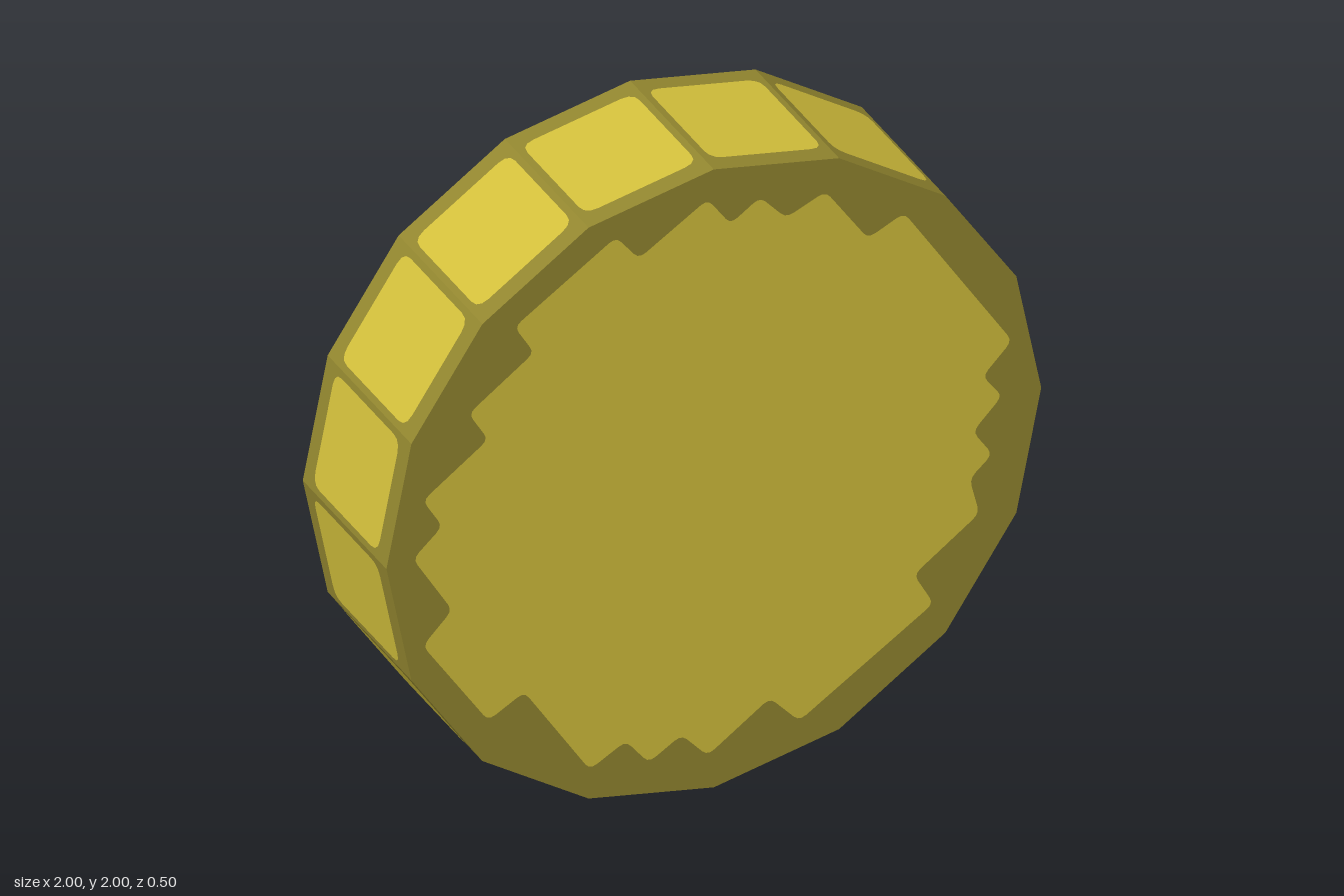
import * as THREE from 'three';

const SIDES = 16, RADIUS = 1, DEPTH = 0.5, LIFT = 0.002;

// Closed shape through the points with softly rounded corners
function roundedShape(points, radius) {
  const pts = points.map(([x, y]) => new THREE.Vector2(x, y));
  const shape = new THREE.Shape();
  pts.forEach((p, i) => {
    const prev = pts[(i + pts.length - 1) % pts.length];
    const next = pts[(i + 1) % pts.length];
    const toward = (q) => p.clone().lerp(q, Math.min(0.45, radius / p.distanceTo(q)));
    const a = toward(prev), b = toward(next);
    if (i === 0) shape.moveTo(a.x, a.y); else shape.lineTo(a.x, a.y);
    shape.quadraticCurveTo(p.x, p.y, b.x, b.y);
  });
  shape.closePath();
  return new THREE.ShapeGeometry(shape, 3);
}

// Jagged outline, clockwise from the top right; shared by both faces
const jagged = [
  [0.34, 1.83], [0.47, 1.64], [0.58, 1.69], [0.91, 1.18], [0.82, 1.09], [0.88, 1.01],
  [0.79, 0.92], [0.85, 0.83], [0.78, 0.77], [0.81, 0.65], [0.61, 0.51], [0.67, 0.40],
  [0.26, 0.14], [0.17, 0.24], [-0.02, 0.11], [-0.10, 0.20], [-0.20, 0.14], [-0.27, 0.23],
  [-0.38, 0.17], [-0.58, 0.48], [-0.69, 0.42], [-0.89, 0.72], [-0.80, 0.81], [-0.92, 1.01],
  [-0.83, 1.09], [-0.89, 1.19], [-0.69, 1.33], [-0.75, 1.43], [-0.55, 1.57],
];
const frontTop = [[-0.61, 1.67], [-0.30, 1.87], [-0.23, 1.78], [-0.02, 1.91], [0.05, 1.81], [0.14, 1.87], [0.22, 1.78]];
const backTop = [[-0.69, 1.61], [-0.18, 1.91], [-0.12, 1.80], [-0.03, 1.86], [0.04, 1.77], [0.13, 1.84], [0.21, 1.76]];

export function createModel() {
  const group = new THREE.Group();
  const edge = new THREE.MeshStandardMaterial({ color: 0x92862f });
  edge.name = 'dark gold edge';
  const gold = new THREE.MeshStandardMaterial({ color: 0xd2bf3b });
  gold.name = 'bright gold';

  const add = (name, geometry, material, parent = group) => {
    const mesh = new THREE.Mesh(geometry, material);
    mesh.name = name;
    parent.add(mesh);
    return mesh;
  };

  // Sixteen-sided disc standing on its rim
  const disc = new THREE.CylinderGeometry(RADIUS, RADIUS, DEPTH, SIDES).toNonIndexed();
  disc.computeVertexNormals();
  disc.rotateX(Math.PI / 2);
  add('disc', disc, edge).position.y = RADIUS;

  // Bright jagged fields on both faces
  add('frontField', roundedShape([...jagged, ...frontTop], 0.025), gold).position.z = DEPTH / 2 + LIFT;
  const back = add('backField', roundedShape([...jagged, ...backTop], 0.025), gold);
  back.rotation.y = Math.PI;
  back.position.z = -DEPTH / 2 - LIFT;

  // One bright panel on each flat of the rim
  const panels = new THREE.Group();
  panels.name = 'rimPanels';
  panels.position.y = RADIUS;
  group.add(panels);
  const w = 0.175, h = 0.193;
  const panel = roundedShape([[-w, -h], [w, -h], [w, h], [-w, h]], 0.04);
  panel.rotateX(-Math.PI / 2);
  panel.translate(0, RADIUS * Math.cos(Math.PI / SIDES) + LIFT, 0);
  for (let i = 0; i < SIDES; i++) {
    add('rimPanel', panel, gold, panels).rotation.z = ((i + 0.5) / SIDES) * Math.PI * 2;
  }
  return group;
}
